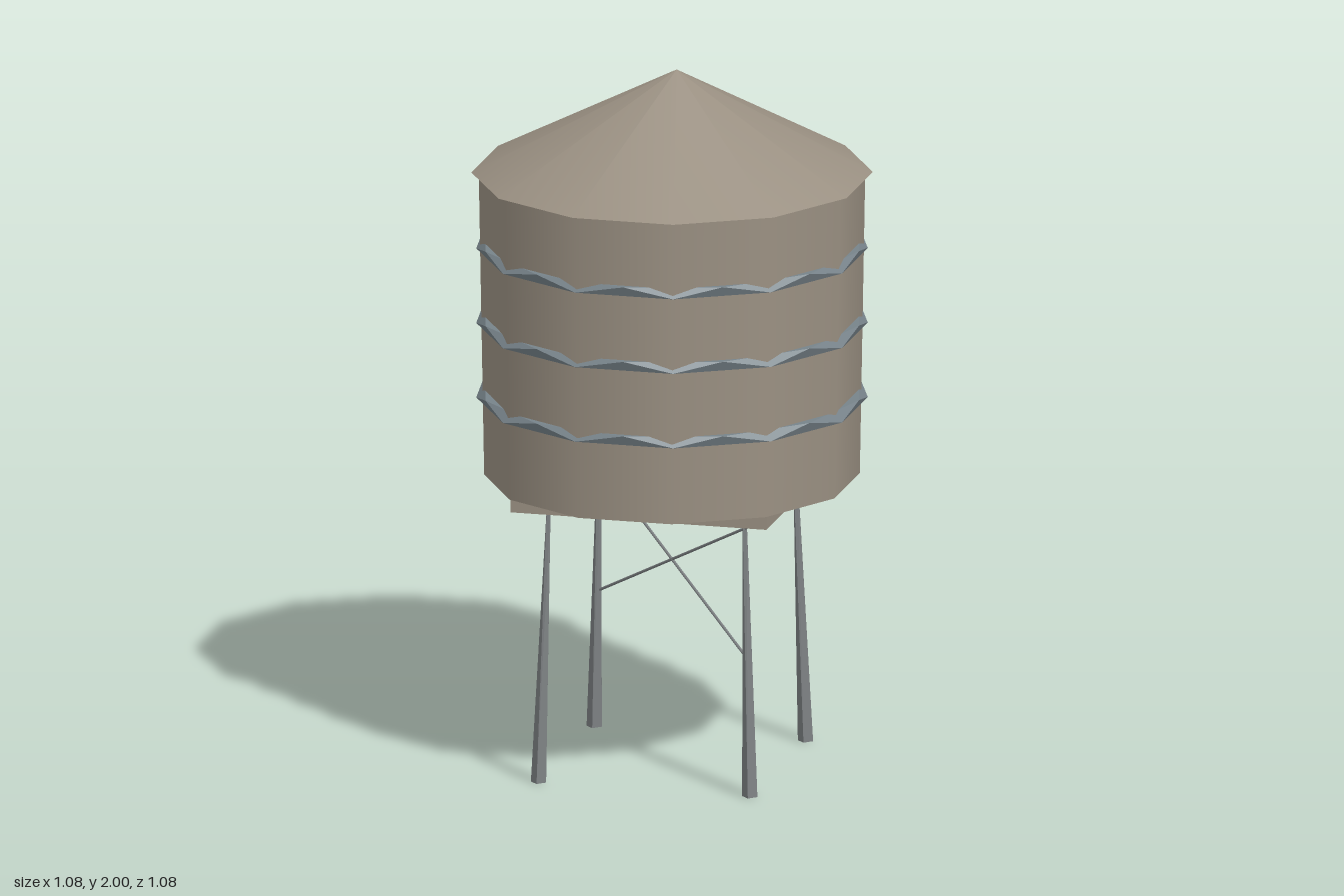
import * as THREE from 'three';

const SIDES = 12;
const HALF_STEP = Math.PI / SIDES;

// Move every vertex of a geometry by a rule
function reshape(geometry, rule) {
  const p = geometry.attributes.position;
  const v = new THREE.Vector3();
  for (let i = 0; i < p.count; i++) {
    rule(v.fromBufferAttribute(p, i));
    p.setXYZ(i, v.x, v.y, v.z);
  }
  return geometry;
}

function faceted(geometry) {
  const flat = geometry.toNonIndexed();
  flat.computeVertexNormals();
  return flat;
}

export function createModel() {
  const model = new THREE.Group();
  model.name = 'waterTower';

  const wood = new THREE.MeshStandardMaterial({ color: 0x9a9082 });
  wood.name = 'weatheredWood';
  const bandSteel = new THREE.MeshStandardMaterial({ color: 0x77838a });
  bandSteel.name = 'bandSteel';
  const legSteel = new THREE.MeshStandardMaterial({ color: 0x7d8183 });
  legSteel.name = 'legSteel';

  function add(name, geometry, material, y = 0) {
    const mesh = new THREE.Mesh(geometry, material);
    mesh.name = name;
    mesh.position.y = y;
    model.add(mesh);
    return mesh;
  }

  // Twelve-sided tank, slightly narrower in x at the foot
  const tank = new THREE.CylinderGeometry(0.538, 0.538, 0.87, SIDES, 1, false, HALF_STEP);
  add('tank', reshape(tank, v => { if (v.y < 0) v.x *= 0.97; }), wood, 1.265);

  // Conical roof with its tip a little off centre
  const roof = new THREE.ConeGeometry(0.559, 0.3, SIDES, 1, false, HALF_STEP);
  add('roof', reshape(roof, v => { if (v.y > 0) { v.x += 0.016; v.z += 0.01; } }), wood, 1.85);

  // Square platform under the tank
  add('platform', new THREE.BoxGeometry(0.736, 0.045, 0.736).translate(0, 0.8125, 0), wood);

  // Hoops: the lower edge is turned half a step so they weave in and out of the wall
  for (const y of [1.065, 1.28, 1.495]) {
    const hoop = new THREE.CylinderGeometry(0.538, 0.545, 0.028, SIDES, 1);
    reshape(hoop, v => {
      if (v.y < 0) v.applyAxisAngle(new THREE.Vector3(0, 1, 0), HALF_STEP);
    });
    add('hoop', faceted(hoop), bandSteel, y);
  }

  // Splayed legs of diamond section, thinning in x towards the top
  for (const sx of [-1, 1]) {
    for (const sz of [-1, 1]) {
      const leg = new THREE.CylinderGeometry(0.022, 0.022, 0.79, 4);
      reshape(leg, v => {
        const top = v.y > 0;
        v.x = v.x * (top ? 0.25 : 1) + sx * (top ? 0.282 : 0.304);
        v.z += sz * (top ? 0.278 : 0.306);
      });
      add('leg', faceted(leg), legSteel, 0.395);
    }
  }

  // Pair of diagonal tie rods between two opposite legs
  for (const s of [-1, 1]) {
    const path = new THREE.LineCurve3(
      new THREE.Vector3(0.3 * s, 0.777, 0.3 * s),
      new THREE.Vector3(-0.28 * s, 0.403, -0.28 * s));
    add('tieRod', new THREE.TubeGeometry(path, 1, 0.004, 6), legSteel);
  }

  return model;
}
